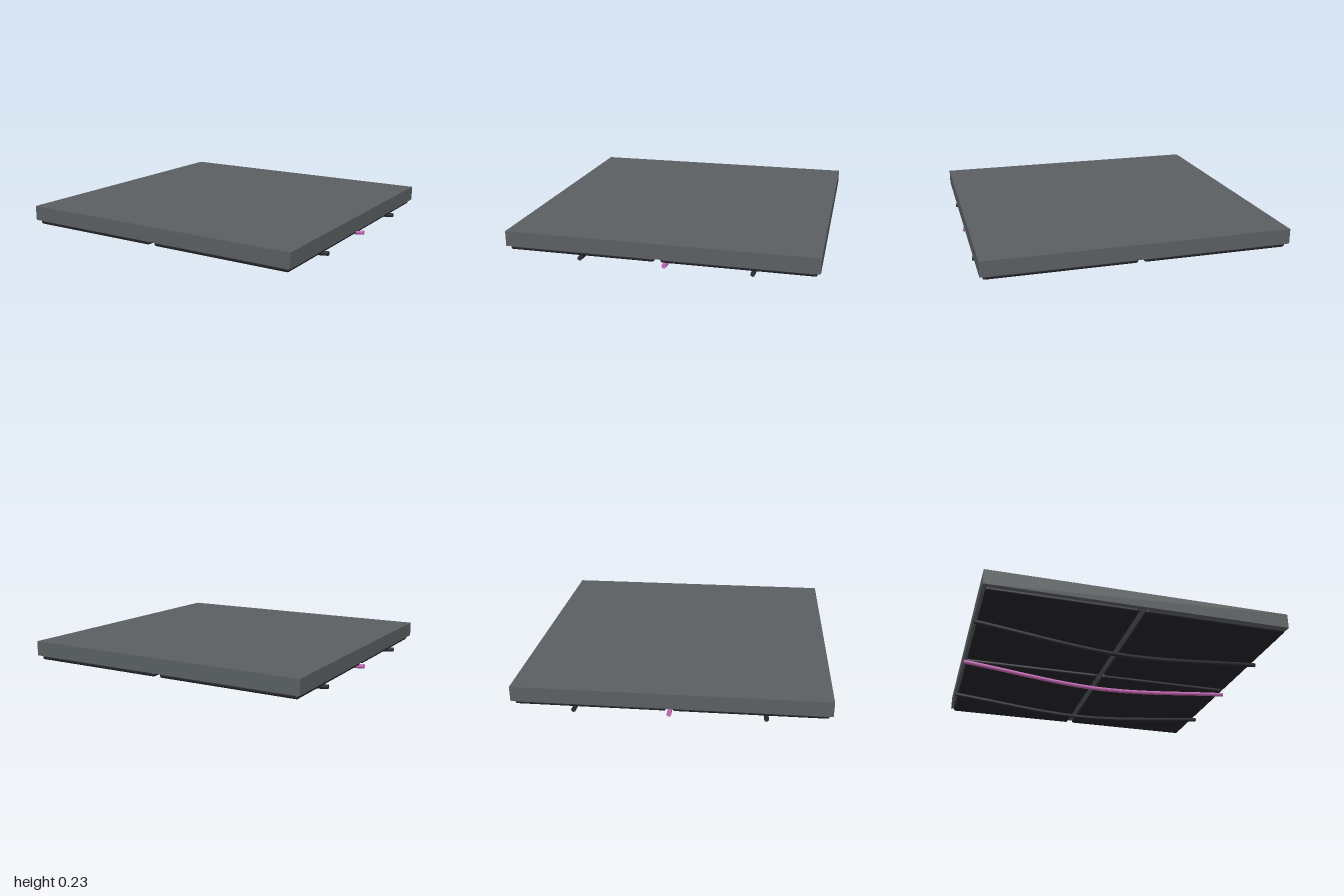
import * as THREE from 'three';
import { RoundedBoxGeometry } from 'three/addons/geometries/RoundedBoxGeometry.js';

const material = (name, color) => {
  const m = new THREE.MeshStandardMaterial({ color });
  m.name = name;
  return m;
};

export function createModel() {
  const slabGrey = material('slab grey', 0x5a5f61);
  const panelBlack = material('panel black', 0x25242b);
  const cableBlack = material('cable black', 0x2b2a30);
  const cablePink = material('cable pink', 0xc869b8);

  const model = new THREE.Group();
  model.name = 'ceilingSection';

  const add = (parent, name, geometry, mat, x, y, z) => {
    const mesh = new THREE.Mesh(geometry, mat);
    mesh.name = name;
    mesh.position.set(x, y, z);
    parent.add(mesh);
    return mesh;
  };

  // Ceiling slab
  add(model, 'slab', new THREE.BoxGeometry(2, 0.1, 2), slabGrey, 0, 0.187, 0);

  // Four rounded panels under the slab, with a gap between them
  const panel = new RoundedBoxGeometry(0.96, 0.03, 0.96, 3, 0.014);
  for (const x of [-0.5, 0.5]) {
    for (const z of [-0.5, 0.5]) add(model, 'panel', panel, panelBlack, x, 0.122, z);
  }

  // Sagging cables, each with closed ends
  const radius = 0.015;
  const addCable = (name, zStart, zEnd, mat) => {
    const cable = new THREE.Group();
    cable.name = name;
    const path = new THREE.CatmullRomCurve3([
      new THREE.Vector3(-1, 0.097, zStart),
      new THREE.Vector3(0, 0.017, (zStart + zEnd) / 2),
      new THREE.Vector3(1, 0.097, zEnd),
    ]);
    add(cable, name + 'Tube', new THREE.TubeGeometry(path, 24, radius, 8), mat, 0, 0, 0);
    for (const t of [0, 1]) {
      const end = path.getPointAt(t);
      const outward = path.getTangentAt(t).multiplyScalar(t ? 1 : -1);
      const cap = add(cable, name + 'Cap', new THREE.CircleGeometry(radius, 8), mat, end.x, end.y, end.z);
      cap.quaternion.setFromUnitVectors(new THREE.Vector3(0, 0, 1), outward);
    }
    model.add(cable);
  };
  addCable('backCable', -0.6, -0.6, cableBlack);
  addCable('middleCable', 0, -0.05, cablePink);
  addCable('frontCable', 0.6, 0.5, cableBlack);

  return model;
}
